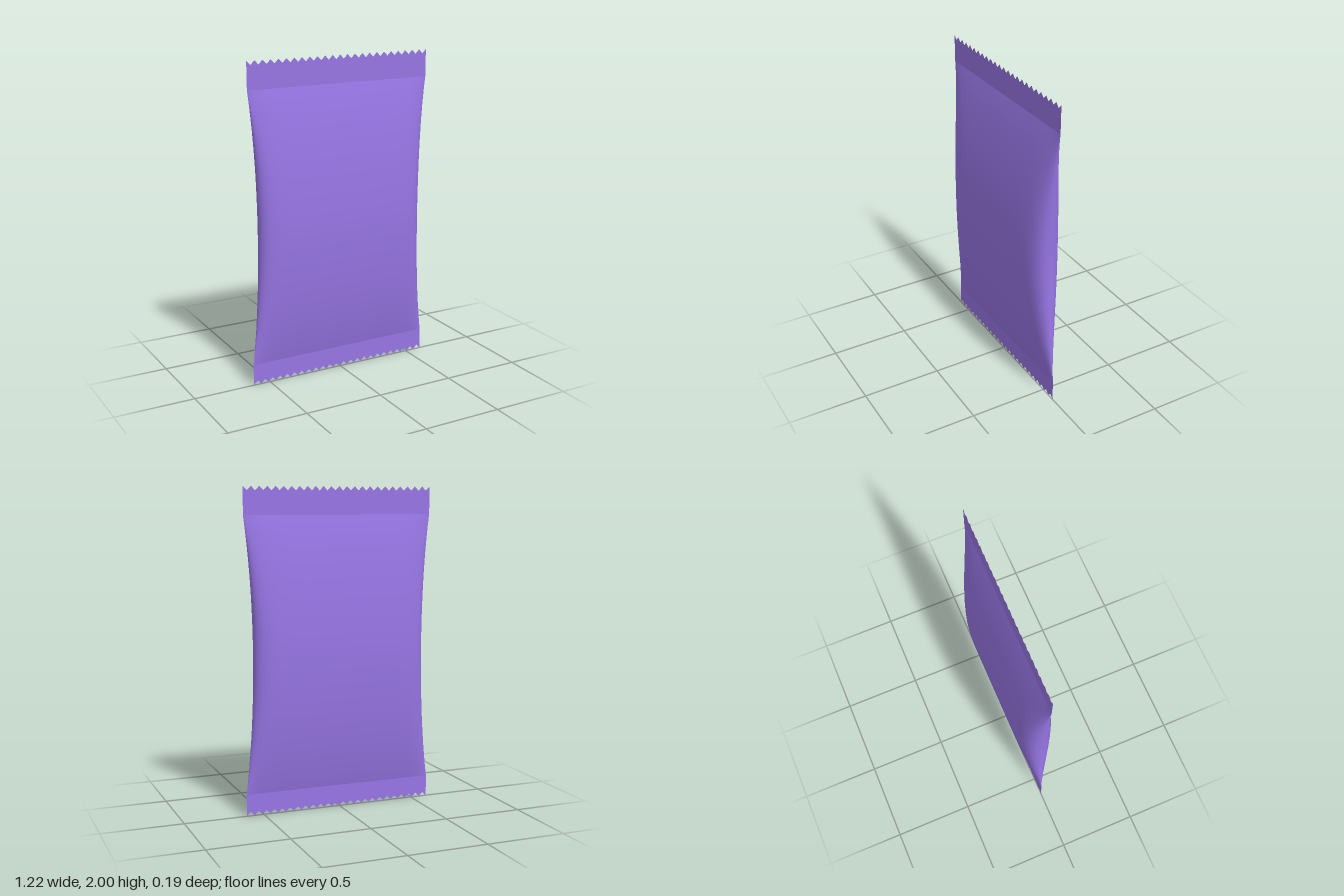
import * as THREE from 'three';

const HALF_WIDTH = 0.61, WAIST = 0.055, DEPTH = 0.095;
const LOW = 0.135, HIGH = 1.83; // where the pouch meets the flat seals
const TEETH = 24, TOOTH = 0.026;

const foil = new THREE.MeshStandardMaterial({ color: 0x9775e4, side: THREE.DoubleSide });

// One puffed face: a grid pinched at the waist and bulged towards +z
function pouchFace() {
  const geo = new THREE.PlaneGeometry(2, 1, 64, 48);
  const pos = geo.attributes.position;
  for (let i = 0; i < pos.count; i++) {
    const s = Math.sin(pos.getX(i) * Math.PI / 2); // denser columns near the side edges
    const v = pos.getY(i) + 0.5;
    const swell = Math.max(0, 4 * v * (1 - v));
    const width = HALF_WIDTH - WAIST * swell;
    const bulge = Math.sqrt(Math.max(0, 1 - Math.abs(s) ** 9));
    pos.setXYZ(i, s * width, LOW + (HIGH - LOW) * v, DEPTH * swell ** 0.95 * bulge);
  }
  geo.computeVertexNormals();
  return geo;
}

// Flat crimped strip from the pouch edge to a zigzag cut at the tip
function sealStrip(inner, tip) {
  const dir = Math.sign(tip - inner);
  const shape = new THREE.Shape();
  shape.moveTo(-HALF_WIDTH, inner);
  for (let i = 0; i <= TEETH * 2; i++) {
    const x = -HALF_WIDTH + (i / (TEETH * 2)) * HALF_WIDTH * 2;
    shape.lineTo(x, i % 2 ? tip - dir * TOOTH : tip);
  }
  shape.lineTo(HALF_WIDTH, inner);
  shape.closePath();
  return new THREE.ShapeGeometry(shape);
}

export function createModel() {
  const model = new THREE.Group();
  model.name = 'wrapper';
  const add = (name, geo) => {
    const mesh = new THREE.Mesh(geo, foil);
    mesh.name = name;
    model.add(mesh);
  };
  add('pouchFront', pouchFace());
  add('pouchBack', pouchFace().rotateY(Math.PI));
  add('topSeal', sealStrip(HIGH, 2));
  add('bottomSeal', sealStrip(LOW, 0));
  return model;
}
